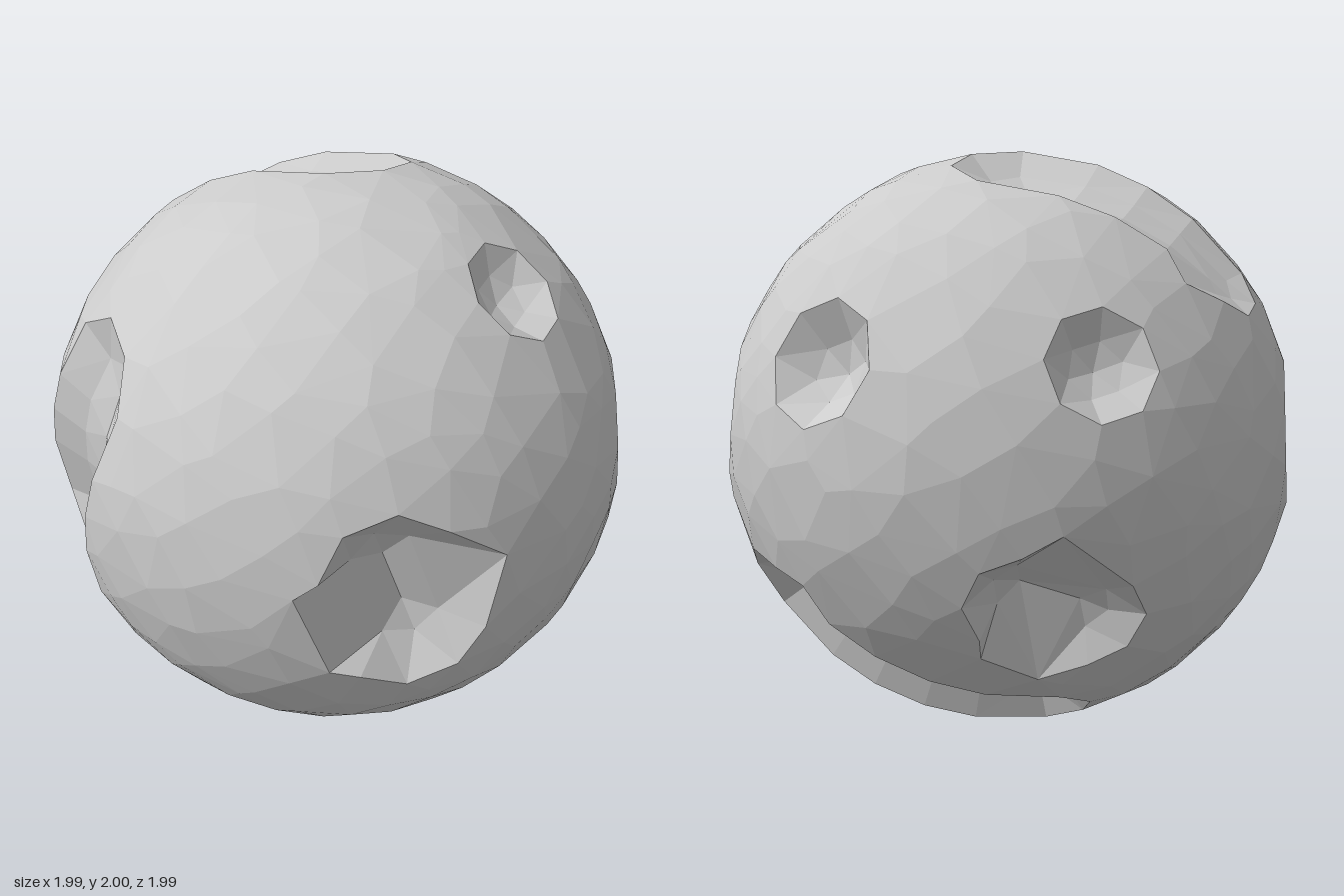
import * as THREE from 'three';
import { ConvexGeometry } from 'three/addons/geometries/ConvexGeometry.js';

const V = (x, y, z) => new THREE.Vector3(x, y, z).normalize();

// A crater runs from direction a to direction b, with its own radius and depth at each end
const crater = (a, rA, dA, b = a, rB = rA, dB = dA) => ({ a: V(...a), b: V(...b), rA, rB, dA, dB });
const craters = [
  crater([0.21, 0.13, 0.96], 0.23, 0.19, [0.29, -0.11, 0.95], 0.23, 0.19),    // front
  crater([0.98, 0.11, 0.04], 0.235, 0.16),                                     // left side
  crater([0.56, 0.76, 0.3], 0.18, 0.1),                                        // upper front left
  crater([0.7, 0.35, -0.62], 0.21, 0.15),                                      // back left
  crater([-0.12, 0.36, -0.92], 0.18, 0.1),                                     // back
  crater([0.12, -0.37, -0.92], 0.18, 0.15, [-0.1, -0.44, -0.89], 0.18, 0.13),  // lower back
  crater([-0.92, 0.05, -0.34], 0.26, 0.19),                                    // back right
  crater([-0.77, 0.42, 0.4], 0.25, 0.14, [-0.91, -0.18, 0.33], 0.27, 0.17),    // long right side
  crater([-0.02, 0.96, -0.26], 0.26, 0.12, [-0.6, 0.6, -0.48], 0.18, 0.06),    // top groove
  crater([0.79, -0.53, -0.27], 0.25, 0.2, [0.02, -0.85, -0.5], 0.21, 0.19),    // underside groove
  crater([0.58, -0.75, 0.3], 0.07, 0.05),                                      // small pit
];

// Place of p in a crater: t is 0 on its spine and 1 on its rim
function locate(c, p) {
  const ab = c.b.clone().sub(c.a);
  const s = ab.lengthSq() > 0
    ? THREE.MathUtils.clamp(p.clone().sub(c.a).dot(ab) / ab.lengthSq(), 0, 1) : 0;
  const near = c.a.clone().addScaledVector(ab, s).normalize();
  const r = THREE.MathUtils.lerp(c.rA, c.rB, s);
  return { t: p.angleTo(near) / r, r, depth: THREE.MathUtils.lerp(c.dA, c.dB, s) };
}

// Points on the sphere along the crater's outline, shrunk by k
function outline(c, k, capSteps) {
  const points = [];
  const along = c.a === c.b || c.a.distanceTo(c.b) < 1e-6
    ? V(0.3, 1, 0.2).cross(c.a) : c.b.clone().sub(c.a);
  const add = (s, angle) => {
    const n = c.a.clone().lerp(c.b, s).normalize();
    const e1 = along.clone().addScaledVector(n, -along.dot(n)).normalize();
    const e2 = n.clone().cross(e1);
    const r = k * THREE.MathUtils.lerp(c.rA, c.rB, s);
    const side = e1.multiplyScalar(Math.cos(angle)).addScaledVector(e2, Math.sin(angle));
    points.push(n.multiplyScalar(Math.cos(r)).addScaledVector(side, Math.sin(r)));
  };
  for (let i = 0; i < capSteps; i++) {
    const angle = -Math.PI / 2 + (Math.PI * (i + 0.5)) / capSteps;
    add(1, angle);
    add(0, angle + Math.PI);
  }
  const sections = Math.round(c.a.angleTo(c.b) / 0.17);
  for (let i = 1; i < sections; i++) {
    add(i / sections, Math.PI / 2);
    add(i / sections, -Math.PI / 2);
  }
  return points;
}

function rockGeometry() {
  let seed = 7;
  const random = () => (seed = (seed * 16807) % 2147483647) / 2147483647;
  const points = [];

  // Uneven spread of points over the sphere, leaving the craters free
  const count = 470;
  for (let i = 0; i < count; i++) {
    const y = 1 - (2 * (i + 0.5)) / count;
    const ring = Math.sqrt(1 - y * y);
    const angle = i * 2.399963;
    const jitter = () => (random() - 0.5) * 0.09;
    const p = V(ring * Math.cos(angle) + jitter(), y + jitter(), ring * Math.sin(angle) + jitter());
    const free = craters.every((c) => {
      const { t, r } = locate(c, p);
      return (t - 1) * r > 0.06;
    });
    if (free) points.push(p);
  }

  // Rims, inner walls and floors of the craters
  for (const c of craters) {
    const small = c.rA < 0.1;
    points.push(...outline(c, 1, small ? 2 : 4));
    if (!small) points.push(...outline(c, 0.55, 3));
    const steps = Math.max(1, Math.round(c.a.angleTo(c.b) / 0.2));
    for (let i = 0; i <= steps; i++) {
      if (i === 0 || c.a.distanceTo(c.b) > 1e-6) points.push(c.a.clone().lerp(c.b, i / steps).normalize());
    }
  }

  // The hull joins the points into triangles, then the craters are pressed in
  const geometry = new ConvexGeometry(points);
  const position = geometry.attributes.position;
  const p = new THREE.Vector3();
  for (let i = 0; i < position.count; i++) {
    p.fromBufferAttribute(position, i).normalize();
    let dent = 0;
    for (const c of craters) {
      const { t, depth } = locate(c, p);
      if (t < 0.97) dent = Math.max(dent, depth * (1 - t * t));
    }
    p.multiplyScalar(1 - dent);
    position.setXYZ(i, p.x, p.y + 1, p.z);
  }
  geometry.computeVertexNormals();
  return geometry;
}

export function createModel() {
  const group = new THREE.Group();
  group.name = 'crateredMoon';
  const material = new THREE.MeshStandardMaterial({ color: 0xcccccc, flatShading: true });
  const rock = new THREE.Mesh(rockGeometry(), material);
  rock.name = 'crateredRock';
  group.add(rock);
  return group;
}
